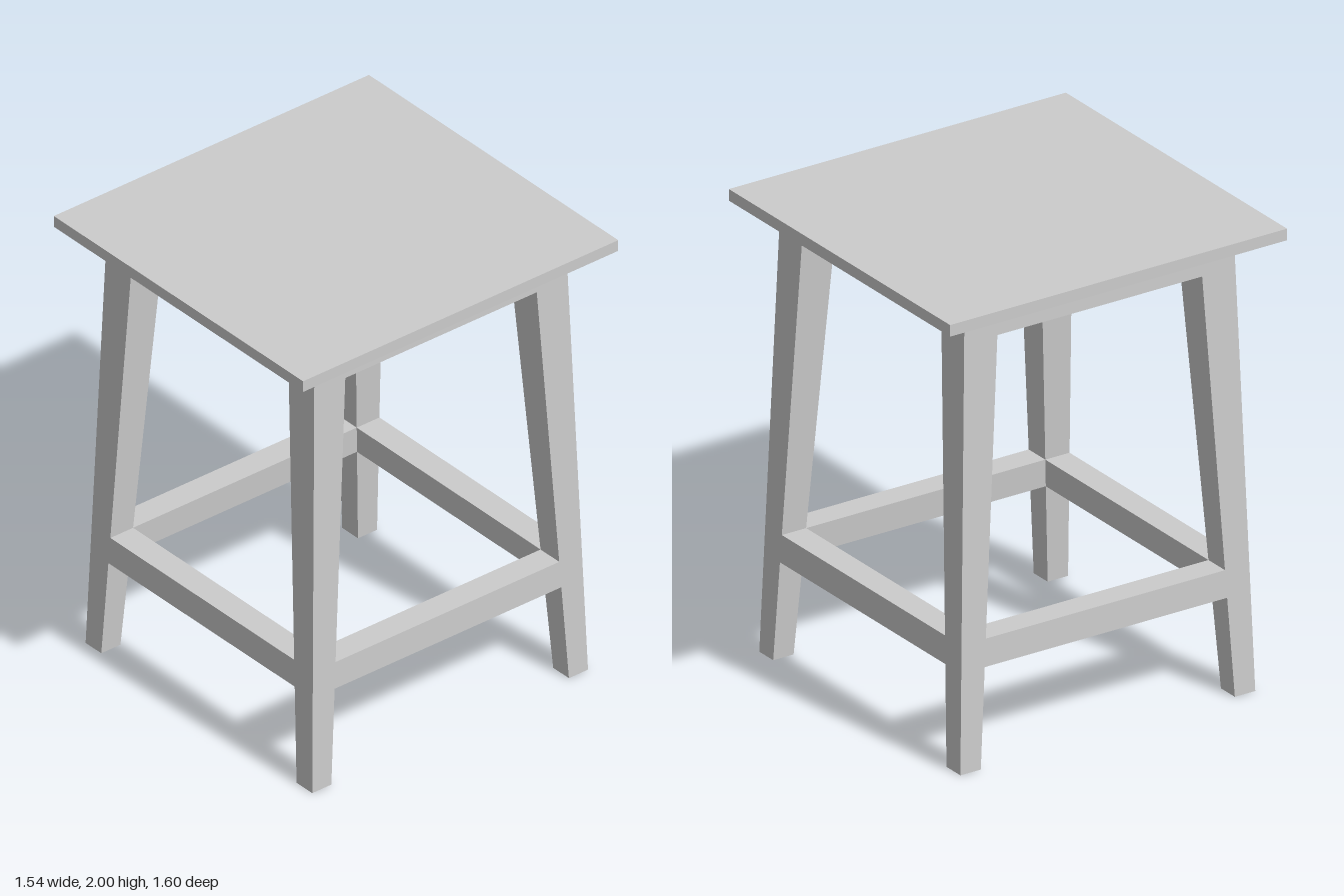
import * as THREE from 'three';

const SEAT_BOTTOM = 1.95;

// Half-distances from the centre to the outer and inner leg faces at height y
const outer = (y) => THREE.MathUtils.lerp(0.7, 0.64, y / SEAT_BOTTOM);
const inner = (y) => THREE.MathUtils.lerp(0.603, 0.478, y / SEAT_BOTTOM);

// Box between two heights whose x and z come from rules of side and height
function taperedBox(y0, y1, xRule, zRule) {
  const geo = new THREE.BoxGeometry(2, 2, 2);
  const p = geo.attributes.position;
  for (let i = 0; i < p.count; i++) {
    const y = p.getY(i) > 0 ? y1 : y0;
    p.setXYZ(i, xRule(p.getX(i), y), y, zRule(p.getZ(i), y));
  }
  geo.computeVertexNormals();
  return geo;
}

export function createModel() {
  const material = new THREE.MeshStandardMaterial({ color: 0xcccccc, flatShading: true });
  const model = new THREE.Group();
  model.name = 'stool';

  const add = (parent, name, geo) => {
    const mesh = new THREE.Mesh(geo, material);
    mesh.name = name;
    parent.add(mesh);
    return mesh;
  };

  // Seat board
  add(model, 'seat', new THREE.BoxGeometry(1.54, 0.05, 1.6)).position.y = 1.975;

  const acrossLeg = (side, y) => (side > 0 ? outer(y) : inner(y));
  const betweenLegs = (side, y) => side * inner(y);

  const legGeo = taperedBox(0, SEAT_BOTTOM, acrossLeg, acrossLeg);
  const apronGeo = taperedBox(1.825, SEAT_BOTTOM, betweenLegs, acrossLeg);
  const stretcherGeo = taperedBox(0.43, 0.55, betweenLegs, acrossLeg);

  // One leg, apron and stretcher per side, repeated by quarter turns
  const frame = new THREE.Group();
  frame.name = 'frame';
  frame.position.x = 0.005;
  ['front', 'left', 'back', 'right'].forEach((side, i) => {
    const quarter = new THREE.Group();
    quarter.name = side + 'Frame';
    quarter.rotation.y = (i * Math.PI) / 2;
    add(quarter, 'leg', legGeo);
    add(quarter, 'apron', apronGeo);
    add(quarter, 'stretcher', stretcherGeo);
    frame.add(quarter);
  });
  model.add(frame);

  return model;
}
